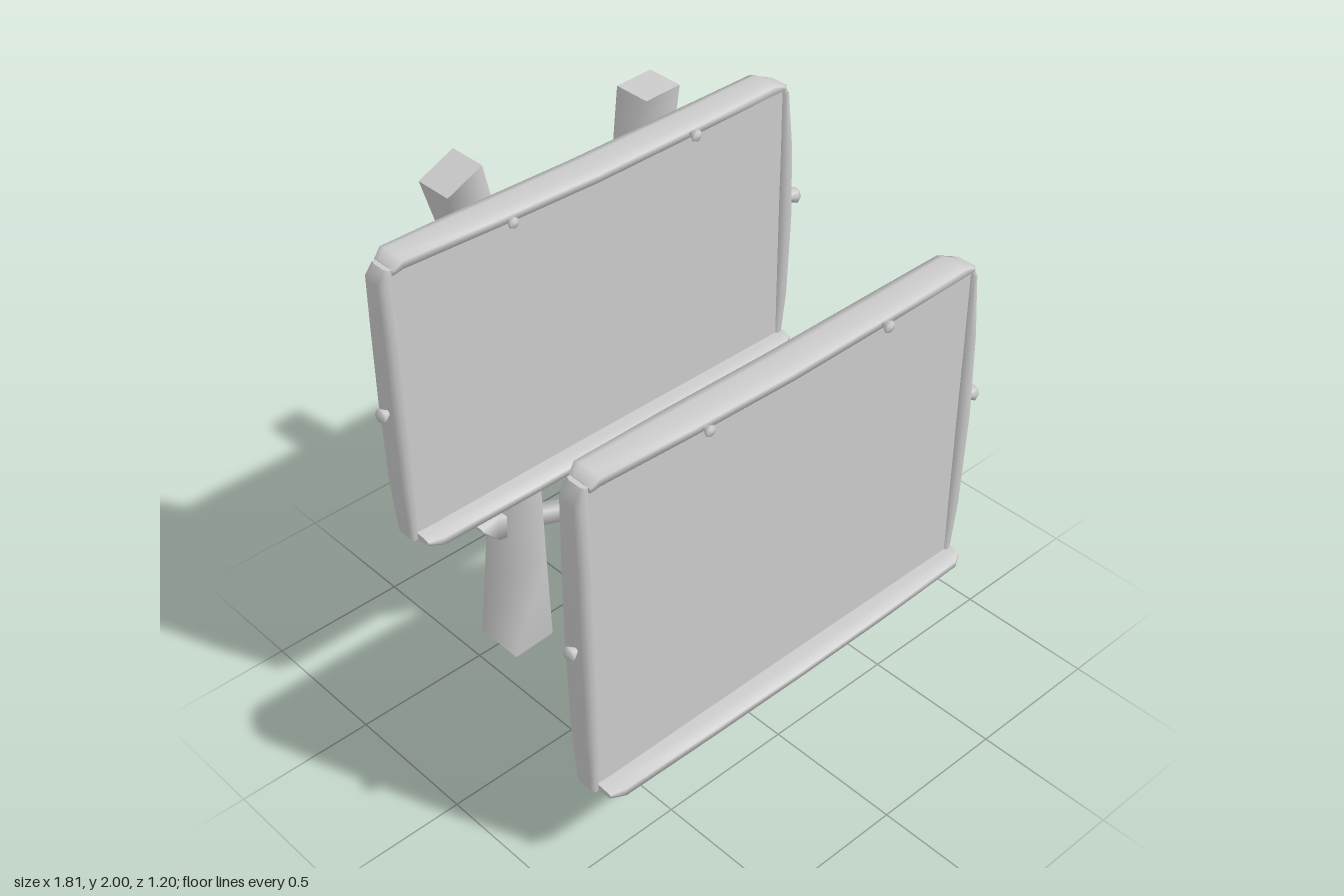
import * as THREE from 'three';

const material = new THREE.MeshStandardMaterial({ color: 0xcccccc });

const SQUARE = [[1, -1], [1, 1], [-1, 1], [-1, -1]];
const ROUNDED = [[1, -0.5], [1, 0.5], [0.6, 1], [-0.6, 1], [-1, 0.5], [-1, -0.5], [-0.6, -1], [0.6, -1]];

// Skin a beam through rings [t, u, v, halfU, halfV, tilt] with flat end caps.
// Axis 'x': t,u,v = x,y,z.  Axis 'y': t,u,v = y,z,x.  Tilt slants a ring along v.
function loft(name, axis, rings, section) {
  const n = section.length;
  const loops = rings.map(([t, u, v, hu, hv, tilt = 0]) => section.map(([a, b]) => {
    const T = t + tilt * b, U = u + a * hu, V = v + b * hv;
    return axis === 'x' ? [T, U, V] : [V, T, U];
  }));
  const pos = loops.flat(2);
  const index = [];
  for (let r = 0; r < rings.length - 1; r++) {
    for (let i = 0; i < n; i++) {
      const a = r * n + i, b = r * n + (i + 1) % n;
      index.push(a, b, b + n, a, b + n, a + n);
    }
  }
  const start = pos.length / 3;
  pos.push(...loops[0].flat(), ...loops[loops.length - 1].flat());
  for (let i = 1; i < n - 1; i++) {
    index.push(start, start + i + 1, start + i);
    index.push(start + n, start + n + i, start + n + i + 1);
  }
  const g = new THREE.BufferGeometry();
  g.setAttribute('position', new THREE.Float32BufferAttribute(pos, 3));
  g.setIndex(index);
  g.computeVertexNormals();
  const mesh = new THREE.Mesh(g, material);
  mesh.name = name;
  return mesh;
}

// Small flared peg pointing along +y before rotation
function peg(name, size, x, y, z, rx, rz) {
  const profile = [[0, -0.6], [0.55, -0.6], [0.4, 0.5], [1, 1.4], [0.85, 1.8], [0, 2]]
    .map(([r, h]) => new THREE.Vector2(r * size, h * size));
  const mesh = new THREE.Mesh(new THREE.LatheGeometry(profile, 8), material);
  mesh.name = name;
  mesh.position.set(x, y, z);
  mesh.rotation.set(rx, 0, rz);
  return mesh;
}

// Framed board standing between heights y0 and y1
function board(name, y0, y1, z) {
  const g = new THREE.Group();
  g.name = name;
  g.position.z = z;
  const h = y1 - y0;
  const at = f => y0 + f * h;

  const panel = new THREE.Mesh(new THREE.BoxGeometry(1.64, h - 0.08, 0.07), material);
  panel.name = 'panel';
  panel.position.set(-0.02, (y0 + y1) / 2, 0);
  g.add(panel);

  // Top rail, sagging slightly, with chamfered ends
  g.add(loft('topRail', 'x', [
    [-0.83, y1 - 0.045, 0, 0.012, 0.045],
    [-0.80, y1 - 0.024, 0, 0.022, 0.055],
    [-0.45, y1 - 0.03, 0, 0.022, 0.063],
    [-0.05, y1 - 0.037, 0, 0.022, 0.065],
    [0.40, y1 - 0.031, 0, 0.022, 0.063],
    [0.72, y1 - 0.026, 0, 0.025, 0.058],
    [0.79, y1 - 0.046, 0, 0.01, 0.045],
  ], ROUNDED));

  // Bottom rail, deeper in front to form a ledge
  g.add(loft('ledge', 'x', [
    [-0.83, y0 + 0.04, 0.022, 0.012, 0.072],
    [-0.77, y0 + 0.025, 0.025, 0.024, 0.078],
    [-0.40, y0 + 0.03, 0.028, 0.023, 0.083],
    [0, y0 + 0.034, 0.03, 0.02, 0.086],
    [0.40, y0 + 0.032, 0.028, 0.021, 0.083],
    [0.78, y0 + 0.03, 0.023, 0.022, 0.076],
    [0.815, y0 + 0.045, 0.02, 0.01, 0.06],
  ], ROUNDED));

  // Side rails, bulging outward in the middle
  g.add(loft('leftRail', 'y', [
    [y0 + 0.02, 0, 0.797, 0.042, 0.014],
    [at(0.2), 0, 0.807, 0.052, 0.023],
    [at(0.5), 0, 0.812, 0.056, 0.028],
    [at(0.75), 0, 0.807, 0.053, 0.024],
    [at(0.94), 0, 0.795, 0.046, 0.015],
    [y1 - 0.04, 0, 0.787, 0.035, 0.008],
  ], ROUNDED));
  g.add(loft('rightRail', 'y', [
    [y0 + 0.03, 0, -0.838, 0.042, 0.012],
    [at(0.2), 0, -0.844, 0.052, 0.02],
    [at(0.5), 0, -0.849, 0.055, 0.024],
    [at(0.75), 0, -0.85, 0.053, 0.025],
    [at(0.93), 0, -0.853, 0.046, 0.025],
    [y1 - 0.035, 0, -0.835, 0.038, 0.012],
  ], ROUNDED));

  // Pegs in the frame
  g.add(
    peg('topPeg', 0.02, -0.41, y1 - 0.034, 0.055, Math.PI / 2, 0),
    peg('topPeg', 0.022, 0.34, y1 - 0.03, 0.055, Math.PI / 2, 0),
    peg('sidePeg', 0.031, 0.838, at(0.53), 0.008, 0, -Math.PI / 2),
    peg('sidePeg', 0.025, -0.86, at(0.495), 0.008, 0, Math.PI / 2),
  );
  return g;
}

export function createModel() {
  const model = new THREE.Group();
  model.name = 'doubleBoardStand';

  model.add(board('frontBoard', 0.33, 1.6, 0.485));
  model.add(board('backBoard', 0.82, 1.905, -0.365));

  // Bowed square posts, waisted in the middle
  const z = -0.5;
  model.add(loft('rightPost', 'y', [
    [0.005, z, -0.325, 0.097, 0.085, 0.005],
    [0.35, z, -0.31, 0.08, 0.072],
    [0.7, z, -0.3, 0.066, 0.064],
    [1.05, z, -0.302, 0.057, 0.062],
    [1.35, z, -0.328, 0.058, 0.064],
    [1.65, z, -0.385, 0.064, 0.067],
    [1.97, z, -0.468, 0.07, 0.068, 0.03],
  ], SQUARE));
  model.add(loft('leftPost', 'y', [
    [0, z, 0.31, 0.097, 0.087],
    [0.35, z, 0.297, 0.08, 0.068],
    [0.7, z, 0.272, 0.066, 0.064],
    [1.05, z, 0.26, 0.057, 0.063],
    [1.35, z, 0.268, 0.058, 0.066],
    [1.65, z, 0.295, 0.064, 0.07],
    [1.967, z, 0.338, 0.07, 0.072, 0.003],
  ], SQUARE));

  // Slanting braces with flared, wedge-shaped ends
  const brace = (name, yRight, yLeft, slim) => {
    const y = x => THREE.MathUtils.mapLinear(x, -0.45, 0.42, yRight, yLeft);
    const ring = (x, hy, hz) => [x, y(x), z, hy, hz];
    return loft(name, 'x', [
      ring(-0.48, 0.006, 0.044),
      ring(-0.41, 0.05, 0.044),
      ring(-0.22, 0.036 * slim, 0.03),
      ring(0, 0.034 * slim, 0.032),
      ring(0.2, 0.042 * slim, 0.037),
      ring(0.375, 0.046 * slim, 0.046),
      ring(0.43, 0.006, 0.046),
    ], SQUARE);
  };
  model.add(brace('upperBrace', 0.8, 1.08, 1.1));
  model.add(brace('lowerBrace', 0.58, 0.245, 0.85));

  return model;
}
